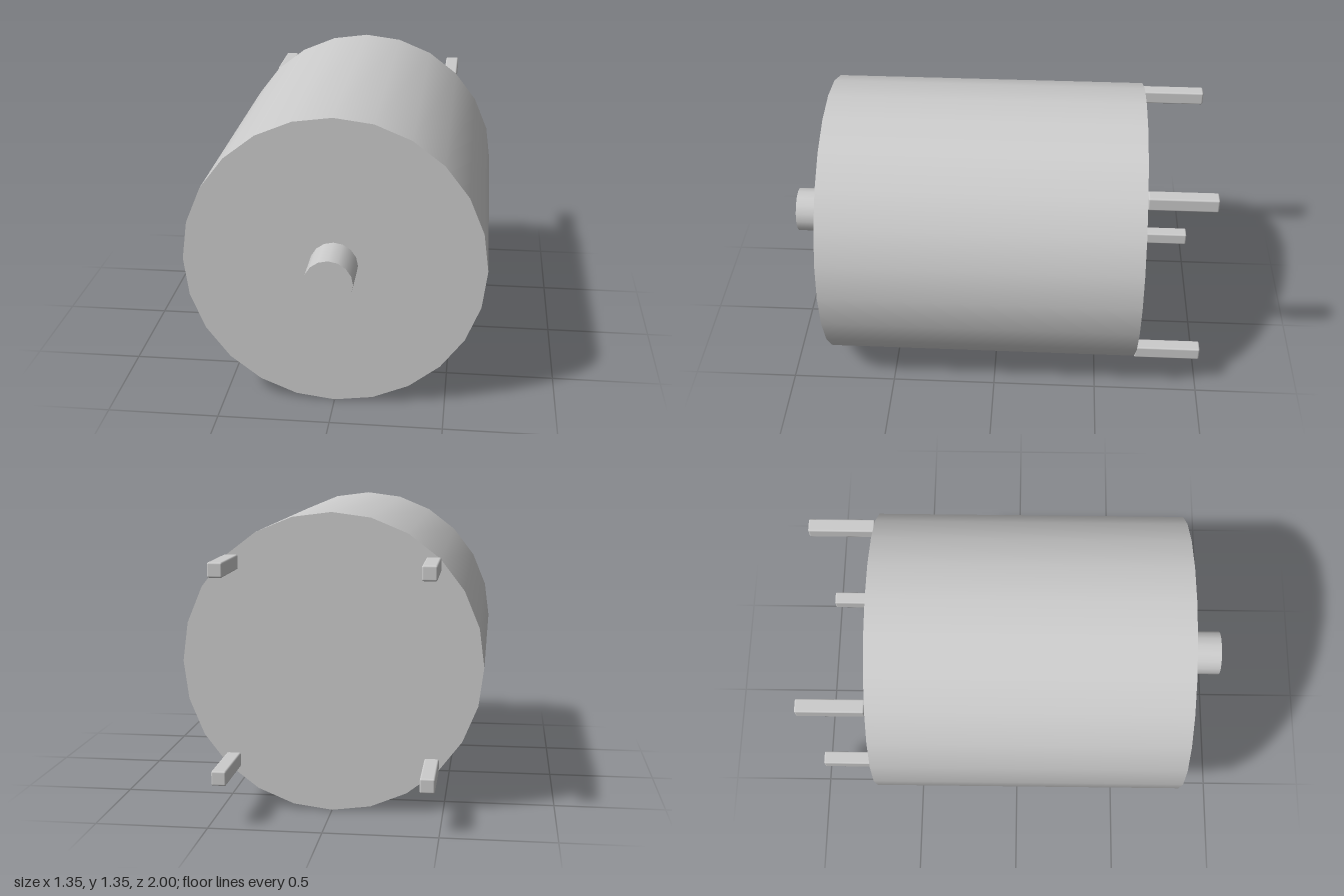
import * as THREE from 'three';
import { RoundedBoxGeometry } from 'three/addons/geometries/RoundedBoxGeometry.js';

const AXIS_Y = 0.675;

export function createModel() {
  const model = new THREE.Group();
  model.name = 'motor';

  const metal = new THREE.MeshStandardMaterial({ color: 0xcccccc });
  metal.name = 'light grey metal';

  // Cylinder along z between two depths, centred on the motor axis
  const addCylinder = (name, radius, back, front, sides) => {
    const geometry = new THREE.CylinderGeometry(radius, radius, front - back, sides);
    geometry.rotateX(Math.PI / 2);
    const mesh = new THREE.Mesh(geometry, metal);
    mesh.name = name;
    mesh.position.set(0, AXIS_Y, (back + front) / 2);
    model.add(mesh);
  };

  addCylinder('body', 0.673, -0.685, 0.8, 24);
  addCylinder('shaft', 0.107, 0.8, 1, 16);

  // Four softly rounded pins at the corners of the back
  const pinGeometry = new RoundedBoxGeometry(0.065, 0.065, 0.315, 2, 0.008);
  for (const side of [-1, 1]) {
    for (const level of [-1, 1]) {
      const pin = new THREE.Mesh(pinGeometry, metal);
      pin.name = `${level > 0 ? 'upper' : 'lower'}${side > 0 ? 'Left' : 'Right'}Pin`;
      pin.position.set(side * 0.448, AXIS_Y + level * 0.45, -0.8425);
      model.add(pin);
    }
  }

  return model;
}
